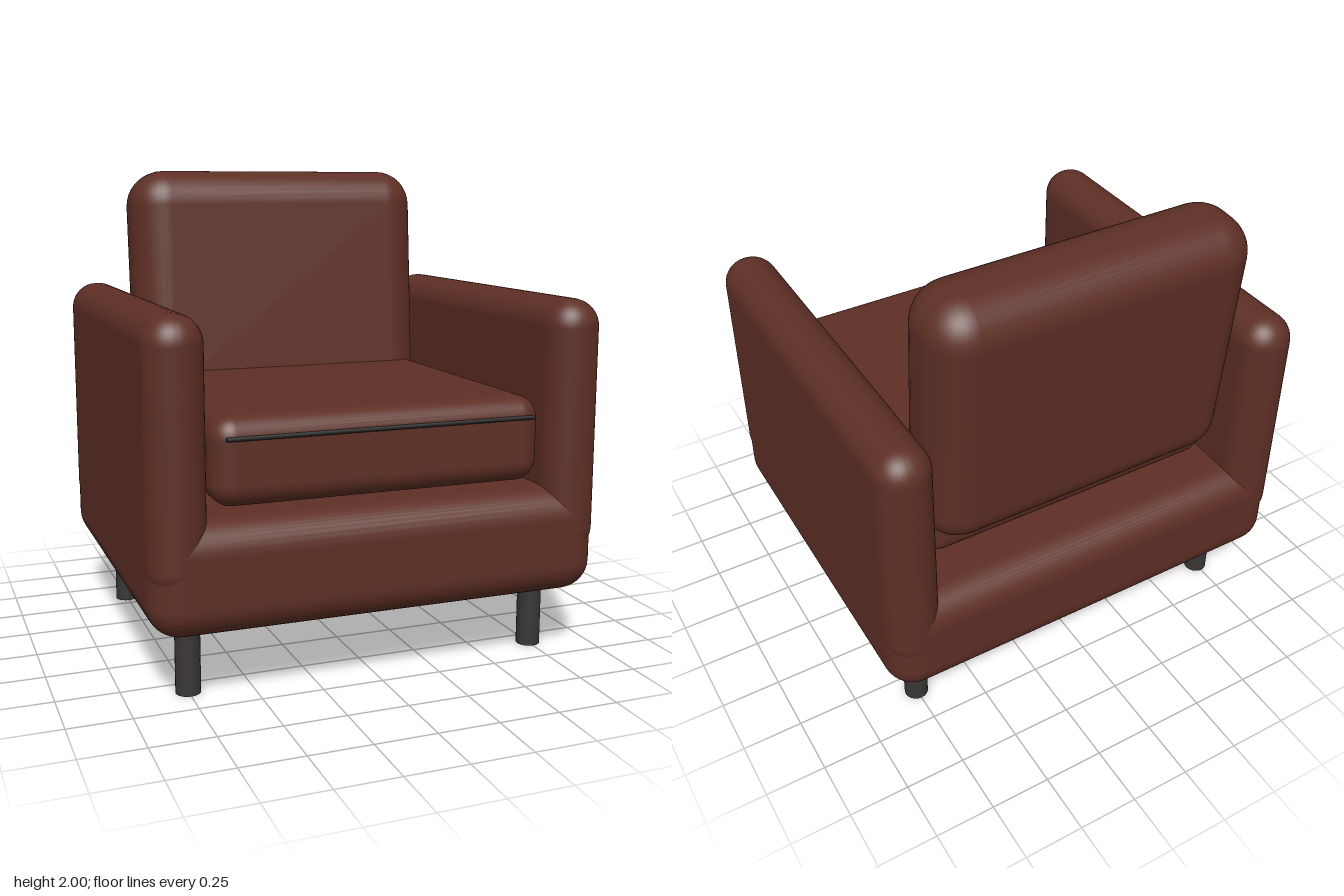
import * as THREE from 'three';
import { RoundedBoxGeometry } from 'three/addons/geometries/RoundedBoxGeometry.js';

export function createModel() {
  const model = new THREE.Group();
  model.name = 'armchair';

  const material = (name, color) => {
    const m = new THREE.MeshStandardMaterial({ color });
    m.name = name;
    return m;
  };
  const leather = material('brown leather', 0x5e2f25);
  const metal = material('dark metal', 0x3a3636);
  const piping = material('black piping', 0x262626);

  const add = (name, geometry, mat, x, y, z) => {
    const mesh = new THREE.Mesh(geometry, mat);
    mesh.name = name;
    mesh.position.set(x, y, z);
    model.add(mesh);
    return mesh;
  };
  const padded = (w, h, d, r) => new RoundedBoxGeometry(w, h, d, 5, r);

  // Upholstered base
  add('base', padded(1.87, 0.45, 1.66, 0.13), leather, 0, 0.505, 0);

  // Seat cushion, slightly clear of the base
  add('seatCushion', padded(1.37, 0.35, 1.39, 0.09), leather, 0, 0.93, 0.075);

  // Piping along the front of the seat cushion
  const pipe = add('seatPiping', new THREE.CylinderGeometry(0.009, 0.009, 1.27, 8), piping, 0, 1.025, 0.77);
  pipe.rotation.z = Math.PI / 2;

  // Back cushion, leaning backwards
  const back = add('backCushion', padded(1.37, 1.13, 0.37, 0.16), leather, 0, 1.435, -0.59);
  back.rotation.x = -0.08;

  // Arms and legs, mirrored left and right
  const armGeometry = padded(0.23, 1.05, 1.66, 0.112);
  const legGeometry = new THREE.CylinderGeometry(0.05, 0.05, 0.29, 20);
  for (const [side, s] of [['left', 1], ['right', -1]]) {
    add(side + 'Arm', armGeometry, leather, s * 0.82, 0.965, 0);
    add(side + 'FrontLeg', legGeometry, metal, s * 0.75, 0.145, 0.585);
    add(side + 'BackLeg', legGeometry, metal, s * 0.75, 0.145, -0.585);
  }

  return model;
}
